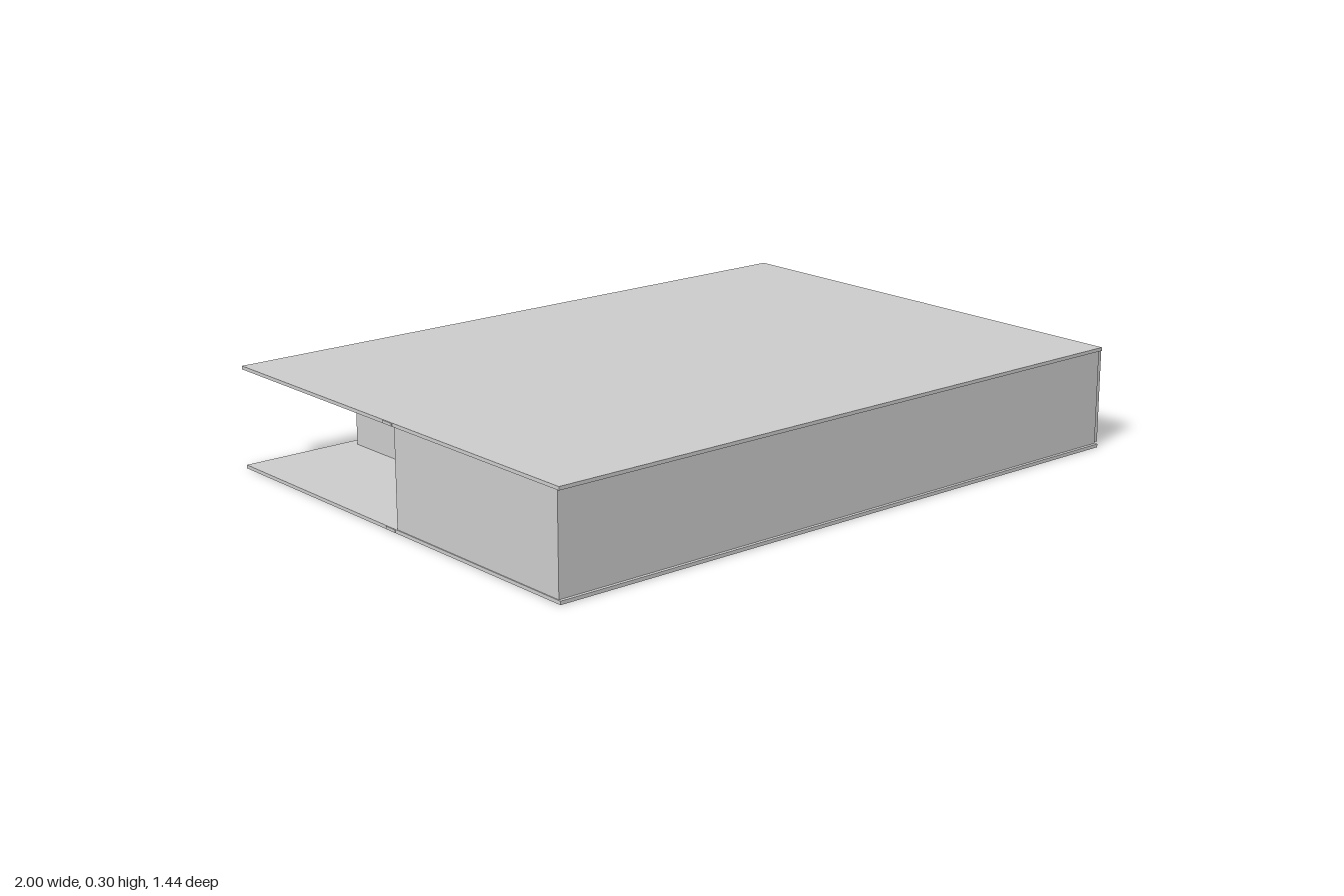
import * as THREE from 'three';

const material = new THREE.MeshStandardMaterial({ color: 0xcccccc, flatShading: true });

// Box given by its extents along each axis
function slab(name, [x0, x1], [y0, y1], [z0, z1]) {
  const mesh = new THREE.Mesh(new THREE.BoxGeometry(x1 - x0, y1 - y0, z1 - z0), material);
  mesh.name = name;
  mesh.position.set((x0 + x1) / 2, (y0 + y1) / 2, (z0 + z1) / 2);
  return mesh;
}

export function createModel() {
  const model = new THREE.Group();
  model.name = 'building';

  // Floor and roof plates, each with a thin joint strip showing at its ends
  for (const [name, y] of [['floor', 0], ['roof', 0.29]]) {
    model.add(slab(name, [-0.998, 0.981], [y, y + 0.01], [-0.718, 0.718]));
    model.add(slab(name + 'Joint', [-1, 0.985], [y + 0.001, y + 0.009], [-0.02, 0.02]));
  }

  // Walls around an L-shaped plan, with an open notch in the back corner
  const h = [0.01, 0.29];
  const walls = new THREE.Group();
  walls.name = 'walls';
  walls.add(
    slab('frontWall', [-0.995, 0.98], h, [0.688, 0.708]),
    slab('eastWall', [0.98, 1], h, [-0.675, 0.7]),
    slab('backWall', [-0.65, 0.98], h, [-0.682, -0.662]),
    slab('westWall', [-0.995, -0.975], h, [0.025, 0.688]),
    slab('notchSideWall', [-0.65, -0.63], h, [-0.662, 0.045]),
    slab('notchBackWall', [-0.975, -0.65], h, [0.03, 0.05]),
  );
  model.add(walls);
  return model;
}
